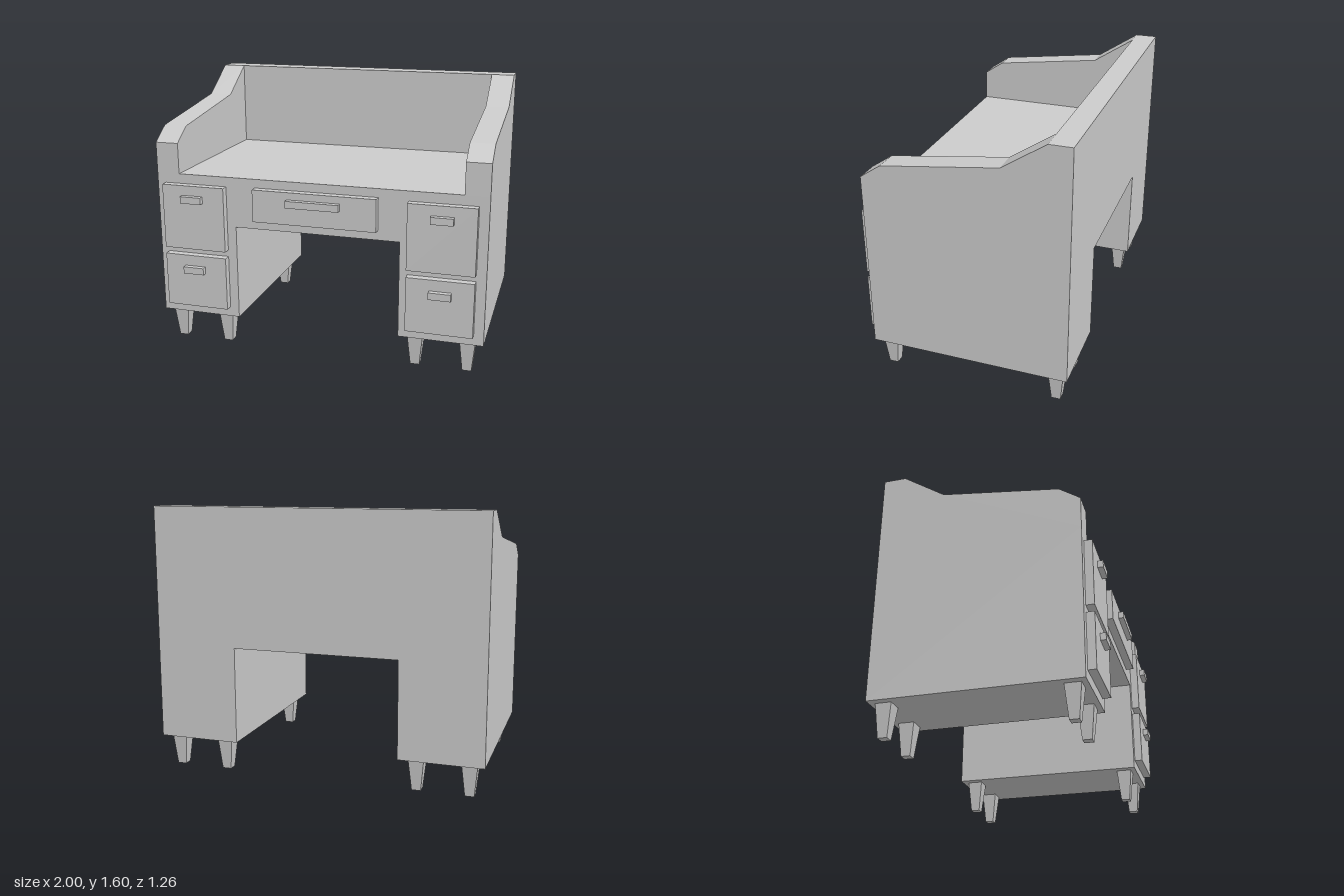
import * as THREE from 'three';

const material = new THREE.MeshStandardMaterial({ color: 0xcccccc, flatShading: true });
const BACK = -0.632, FRONT = 0.553, TOP = 1.075;

function addMesh(parent, name, geometry) {
  const mesh = new THREE.Mesh(geometry, material);
  mesh.name = name;
  parent.add(mesh);
  return mesh;
}

// Box given by its extents
function addBox(parent, name, x0, x1, y0, y1, z0, z1) {
  const mesh = addMesh(parent, name, new THREE.BoxGeometry(x1 - x0, y1 - y0, z1 - z0));
  mesh.position.set((x0 + x1) / 2, (y0 + y1) / 2, (z0 + z1) / 2);
  return mesh;
}

function extrude(points, depth) {
  const shape = new THREE.Shape(points.map(([x, y]) => new THREE.Vector2(x, y)));
  return new THREE.ExtrudeGeometry(shape, { depth, bevelEnabled: false });
}

// Drawer front with its bar handle
function addDrawer(parent, name, [x0, x1, y0, y1], [hx, hy, hw]) {
  const drawer = new THREE.Group();
  drawer.name = name;
  addBox(drawer, 'drawerFront', x0, x1, y0, y1, FRONT, 0.6);
  addBox(drawer, 'drawerHandle', hx - hw / 2, hx + hw / 2, hy - 0.021, hy + 0.021, 0.6, 0.632);
  parent.add(drawer);
}

export function createModel() {
  const desk = new THREE.Group();
  desk.name = 'desk';

  // Two pedestals and the top, with the knee hole running right through
  const body = addMesh(desk, 'body', extrude([
    [-1, 0.19], [-0.5, 0.19], [-0.5, 0.77], [0.5, 0.77],
    [0.5, 0.19], [1, 0.19], [1, TOP], [-1, TOP],
  ], FRONT - BACK));
  body.position.z = BACK;

  // Raised back between the sides
  addBox(desk, 'backPanel', -0.858, 0.858, TOP, 1.6, BACK, -0.5);

  // Stepped side walls: profile drawn in (-z, y), turned to run along x
  const sideGeometry = extrude([
    [-FRONT, TOP], [-BACK, TOP], [-BACK, 1.6], [0.5, 1.6],
    [0.25, 1.435], [-0.43, 1.343], [-FRONT, 1.26],
  ], 0.142).rotateY(Math.PI / 2);
  addMesh(desk, 'leftSide', sideGeometry).position.x = 0.858;
  addMesh(desk, 'rightSide', sideGeometry).position.x = -1;

  // Drawers
  addDrawer(desk, 'centreDrawer', [-0.373, 0.373, 0.828, 1.023], [0, 0.959, 0.32]);
  for (const [side, s] of [['left', 1], ['right', -1]]) {
    const [x0, x1] = s > 0 ? [0.549, 0.942] : [-0.949, -0.556];
    const hx = s > 0 ? 0.749 : -0.756;
    addDrawer(desk, side + 'UpperDrawer', [x0, x1, 0.62, 1.016], [hx, 0.935, 0.13]);
    addDrawer(desk, side + 'LowerDrawer', [x0, x1, 0.25, 0.579], [hx, 0.492, 0.13]);
  }

  // Tapered square legs, four under each pedestal
  const legGeometry = new THREE.CylinderGeometry(0.046 * Math.SQRT2, 0.027 * Math.SQRT2, 0.19, 4)
    .rotateY(Math.PI / 4);
  for (const x of [-0.908, -0.6, 0.595, 0.904]) {
    for (const z of [0.476, -0.551]) {
      addMesh(desk, 'leg', legGeometry).position.set(x, 0.095, z);
    }
  }

  return desk;
}
